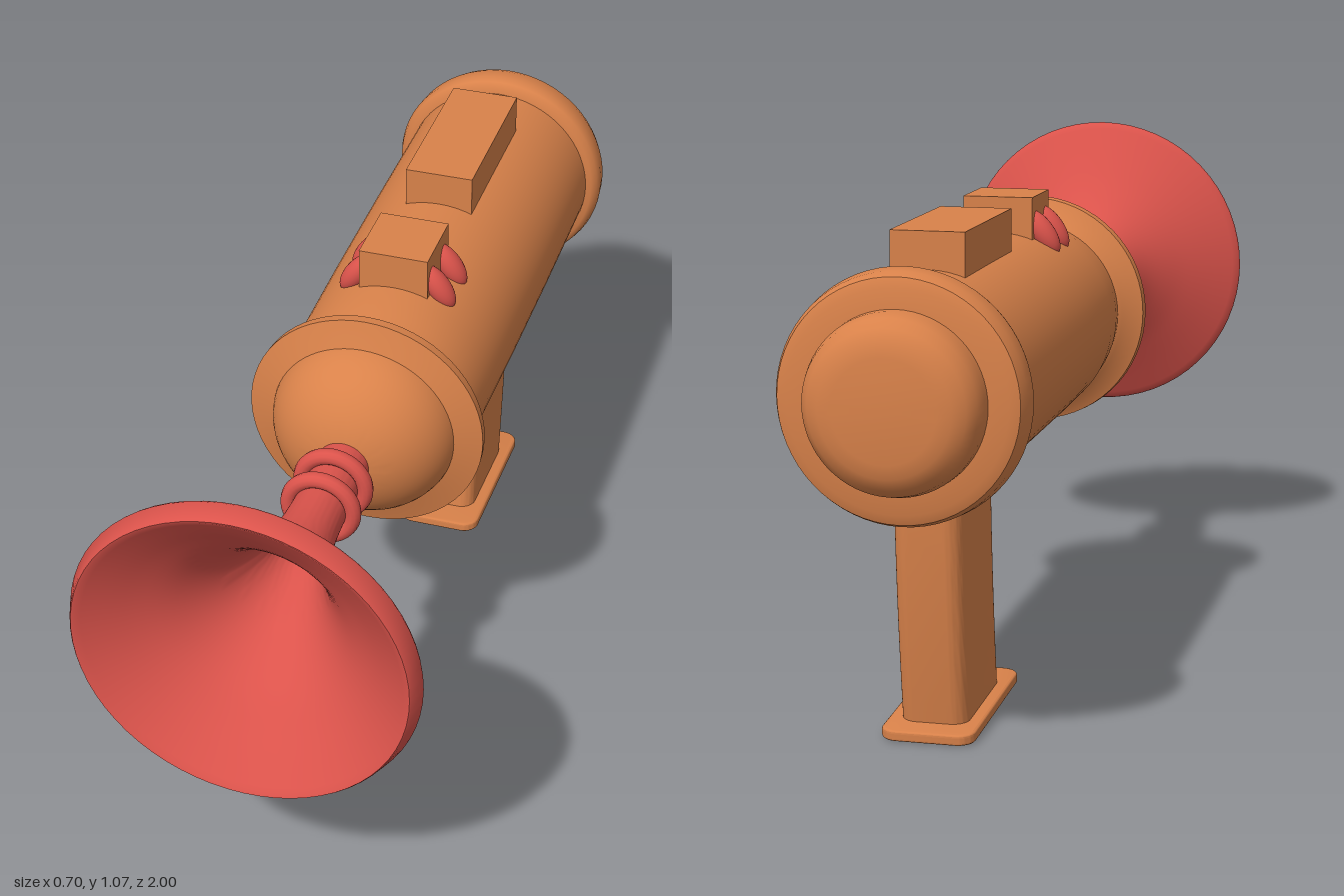
import * as THREE from 'three';
import { toCreasedNormals } from 'three/addons/utils/BufferGeometryUtils.js';

const AXIS_Y = 0.72; // height of the barrel axis

export function createModel() {
  const model = new THREE.Group();
  const orange = new THREE.MeshStandardMaterial({ color: 0xd9824a });
  const red = new THREE.MeshStandardMaterial({ color: 0xdb534b });

  const add = (name, geometry, material, x = 0, y = 0, z = 0) => {
    const mesh = new THREE.Mesh(geometry, material);
    mesh.name = name;
    mesh.position.set(x, y, z);
    model.add(mesh);
    return mesh;
  };

  // Turned part along z: profile given as [radius, z], from back to front
  const turned = (name, profile, material, crease = 0.65) => {
    const points = profile.map(([r, z]) => new THREE.Vector2(r, z));
    const geometry = new THREE.LatheGeometry(points, 64).rotateX(Math.PI / 2);
    return add(name, toCreasedNormals(geometry, crease), material, 0, AXIS_Y);
  };

  const roundedRect = (w, d, r) => {
    const s = new THREE.Shape();
    const x = w / 2, y = d / 2, q = Math.PI / 2;
    s.absarc(x - r, y - r, r, 0, q);
    s.absarc(-x + r, y - r, r, q, 2 * q);
    s.absarc(-x + r, -y + r, r, 2 * q, 3 * q);
    s.absarc(x - r, -y + r, r, 3 * q, 4 * q);
    return s;
  };

  // Barrel, rear cap and its collar
  turned('rearCap', [
    [0, -1], [0.1, -1], [0.128, -0.995], [0.152, -0.982], [0.168, -0.962],
    [0.175, -0.935], [0.177, -0.89],
  ], orange);
  turned('rearCollar', [
    [0.15, -0.915], [0.215, -0.913], [0.235, -0.905], [0.243, -0.885],
    [0.247, -0.85], [0.242, -0.832], [0.23, -0.822], [0.2, -0.82],
  ], orange);
  turned('barrel', [
    [0.217, -0.86], [0.218, -0.5], [0.217, -0.2], [0.214, 0.03],
    [0.208, 0.11], [0.2, 0.17], [0.196, 0.22],
  ], orange);
  turned('frontCollar', [
    [0.195, 0.155], [0.21, 0.165], [0.222, 0.177], [0.252, 0.191],
    [0.254, 0.213], [0.225, 0.222], [0.19, 0.235],
  ], orange);

  // Domed nose
  const dome = [];
  for (let i = 0; i <= 14; i++) {
    const a = (i / 14) * Math.PI / 2;
    dome.push([Math.max(0, 0.2 * Math.cos(a)), 0.205 + 0.168 * Math.sin(a)]);
  }
  turned('nose', dome, orange);

  // Horn: outer flare, lip, then the inner funnel back to a point
  const flare = new THREE.SplineCurve([
    [0.055, 0.35], [0.055, 0.5], [0.06, 0.6], [0.075, 0.69], [0.1, 0.755],
    [0.142, 0.815], [0.2, 0.865], [0.265, 0.907], [0.348, 0.955],
  ].map(p => new THREE.Vector2(...p))).getPoints(36).map(p => [p.x, p.y]);
  const funnel = new THREE.SplineCurve([
    [0.33, 0.998], [0.25, 0.935], [0.17, 0.865], [0.1, 0.77],
    [0.05, 0.65], [0.022, 0.5], [0.005, 0.37],
  ].map(p => new THREE.Vector2(...p))).getPoints(30).map(p => [p.x, p.y]);
  turned('horn', [...flare, [0.351, 0.962], [0.338, 0.996], [0.335, 1], ...funnel], red, 0.8);

  for (const z of [0.43, 0.51]) {
    add('hornRing', new THREE.TorusGeometry(0.068, 0.017, 12, 40), red, 0, AXIS_Y, z);
  }

  // Blocks on top of the barrel
  add('frontBlock', new THREE.BoxGeometry(0.15, 0.13, 0.155), orange, 0, 0.947, -0.0575);
  add('rearBlock', new THREE.BoxGeometry(0.15, 0.1, 0.374), orange, 0, 0.962, -0.505);

  // Oval studs beside the front block, leaning outward at the foot
  for (const side of [-1, 1]) {
    for (const z of [-0.012, -0.099]) {
      const stud = add('stud', new THREE.SphereGeometry(1, 24, 16), red, side * 0.09, 0.935, z);
      stud.scale.set(0.025, 0.055, 0.026);
      stud.rotation.z = side * 0.62;
    }
  }

  // Grip: rounded section swept upward, bending backward by a curve
  const H = 0.53;
  const grip = new THREE.ExtrudeGeometry(roundedRect(0.138, 0.285, 0.035), {
    depth: H, steps: 12, bevelEnabled: false, curveSegments: 6,
  }).rotateX(-Math.PI / 2);
  const pos = grip.attributes.position;
  for (let i = 0; i < pos.count; i++) {
    const t = pos.getY(i) / H;
    pos.setZ(i, pos.getZ(i) - 0.0525 * (1 - Math.pow(1 - t, 1.7)));
  }
  add('grip', toCreasedNormals(grip, 0.6), orange, 0, 0.02, -0.5325);

  // Foot plate, tilted up a little at the front
  const plate = new THREE.ExtrudeGeometry(roundedRect(0.18, 0.4, 0.03), {
    depth: 0.01, bevelThickness: 0.006, bevelSize: 0.006, bevelSegments: 3, curveSegments: 6,
  }).rotateX(-Math.PI / 2).translate(0, -0.005, 0);
  add('footPlate', toCreasedNormals(plate, 0.7), orange, 0, 0.02, -0.53).rotation.x = -0.043;

  return model;
}
